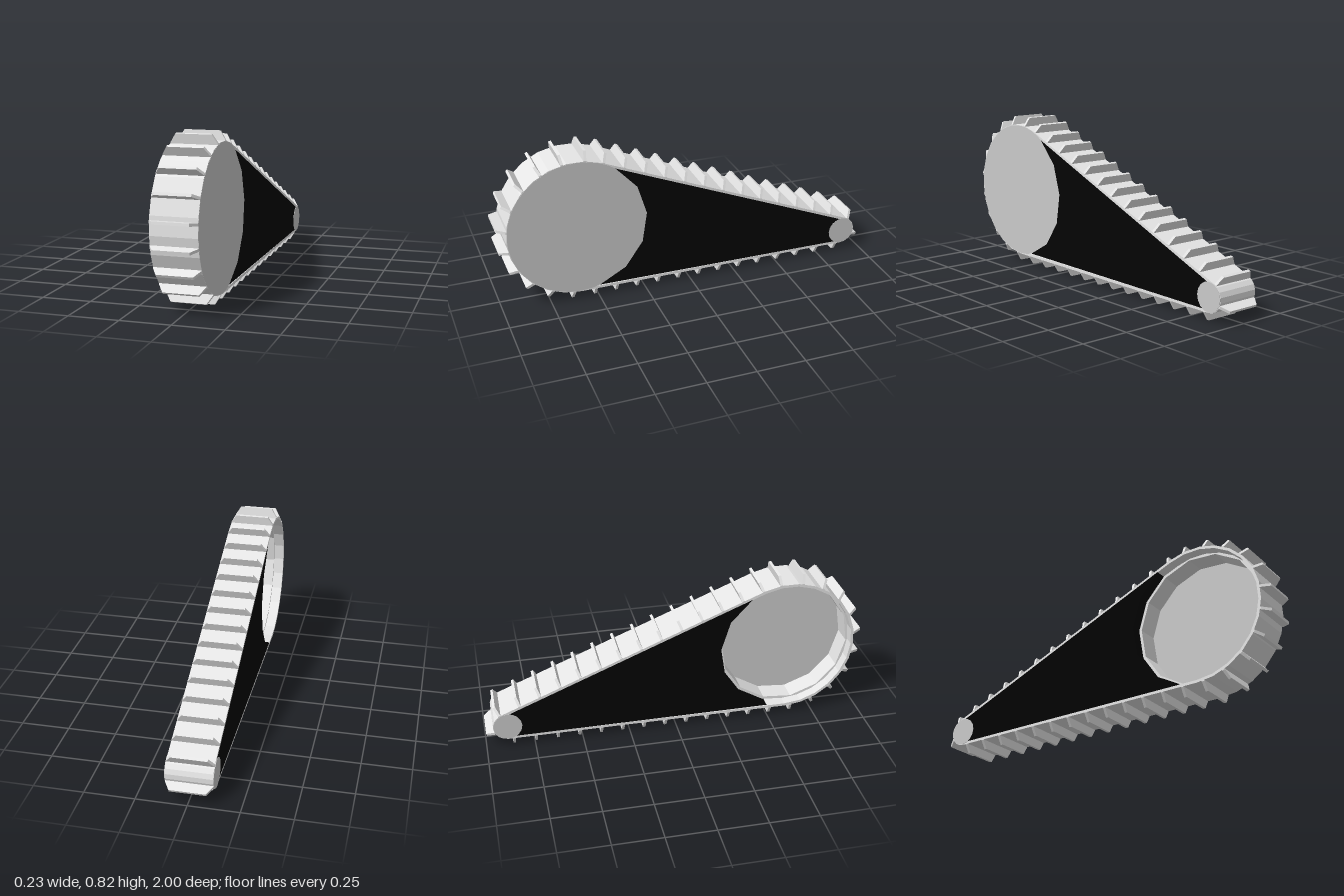
import * as THREE from 'three';

const BIG = { z: 0.595, y: 0.413, r: 0.365 };
const SMALL = { z: -0.885, y: 0.124, r: 0.076 };
const HALF = 0.115;
const THICK = 0.014; // belt thickness
const TOP = 112, BOTTOM = 270; // tangent angles in degrees, measured from +z

const rad = THREE.MathUtils.degToRad;

// Point on a circle in the (z, y) plane
function on(c, r, a) {
  return new THREE.Vector2(c.z + r * Math.cos(a), c.y + r * Math.sin(a));
}

// Points on a circle between two angles in degrees
function arc(c, r, from, to, n) {
  return Array.from({ length: n + 1 }, (_, i) => on(c, r, rad(from + (to - from) * i / n)));
}

// Closed loop around both wheels, moved inwards by an inset
function loop(inset) {
  return [
    ...arc(SMALL, SMALL.r - inset, BOTTOM, TOP, 8),
    ...arc(BIG, BIG.r - inset, TOP, -90, 14),
  ];
}

// Fourteen-sided outline for the large wheel's rim
function rimLoop(r) {
  return arc(BIG, r, 124, 124 - 360 * 13 / 14, 13);
}

// Extrude a (z, y) outline across x, centred on x = 0, with an optional hole
function across(outline, width, hole) {
  const shape = new THREE.Shape(outline);
  if (hole) shape.holes.push(new THREE.Path(hole.reverse()));
  const g = new THREE.ExtrudeGeometry(shape, { depth: width, bevelEnabled: false });
  return g.translate(0, 0, -width / 2).rotateY(-Math.PI / 2);
}

// Position and outward angle at distance s along the belt, from the lower front
function along(s) {
  const start = on(BIG, BIG.r, rad(BOTTOM)), end = on(SMALL, SMALL.r, rad(BOTTOM));
  const straight = start.distanceTo(end);
  const turn = rad(BOTTOM - TOP) * SMALL.r;
  if (s < 0) {
    const a = rad(-90) - s / 0.359;
    return { p: on(BIG, BIG.r, a), a };
  }
  if (s < straight) return { p: start.lerp(end, s / straight), a: rad(BOTTOM) };
  if (s < straight + turn) {
    const a = rad(BOTTOM) - (s - straight) / SMALL.r;
    return { p: on(SMALL, SMALL.r, a), a };
  }
  const t = (s - straight - turn) / straight;
  return { p: on(SMALL, SMALL.r, rad(TOP)).lerp(on(BIG, BIG.r, rad(TOP)), t), a: rad(TOP) };
}

export function createModel() {
  const model = new THREE.Group();
  model.name = 'trackUnit';
  const paleGrey = new THREE.MeshStandardMaterial({ name: 'paleGrey', color: 0xe6e6e6 });
  const grey = new THREE.MeshStandardMaterial({ name: 'grey', color: 0xcacaca });
  const black = new THREE.MeshStandardMaterial({ name: 'black', color: 0x030303 });

  function add(name, geometry, material, parent = model) {
    const mesh = new THREE.Mesh(geometry, material);
    mesh.name = name;
    parent.add(mesh);
    return mesh;
  }

  // Belt, and the rim of the large wheel inside it
  add('belt', across(loop(0), HALF * 2, loop(THICK)), paleGrey);
  add('largeWheelRim', across(rimLoop(0.358), 0.12, rimLoop(0.343)), paleGrey);

  // Side housing, hollowed out around the large wheel
  const housing = [
    ...arc(SMALL, SMALL.r - THICK, BOTTOM, TOP, 8),
    ...arc(BIG, 0.36, 124, 254, 5),
  ];
  add('housing', across(housing, HALF * 2 + 0.002), black);

  // Large wheel disc sits against the left side, small roller goes right through
  const wheel = new THREE.CylinderGeometry(0.361, 0.361, 0.065, 40).rotateZ(Math.PI / 2);
  add('largeWheel', wheel, grey).position.set(HALF - 0.032, BIG.y, BIG.z);
  const roller = new THREE.CylinderGeometry(0.074, 0.074, HALF * 2 + 0.005, 16).rotateZ(Math.PI / 2);
  add('smallRoller', roller, grey).position.set(0, SMALL.y, SMALL.z);

  // Tapered cleats evenly spaced around the belt
  const cleats = new THREE.Group();
  cleats.name = 'cleats';
  model.add(cleats);
  const profile = new THREE.Shape([
    new THREE.Vector2(-HALF, -0.006), new THREE.Vector2(HALF, -0.006),
    new THREE.Vector2(HALF, 0.002), new THREE.Vector2(0.088, 0.046),
    new THREE.Vector2(-0.088, 0.046), new THREE.Vector2(-HALF, 0.002),
  ]);
  const cleat = new THREE.ExtrudeGeometry(profile, { depth: 0.014, bevelEnabled: false });
  cleat.translate(0, 0, -0.007);
  for (let i = -11; i <= 27; i++) {
    const { p, a } = along(0.08 + i * 0.1142);
    const mesh = add('cleat', cleat, paleGrey, cleats);
    mesh.position.set(0, p.y, p.x);
    mesh.rotation.x = Math.PI / 2 - a;
  }
  return model;
}
